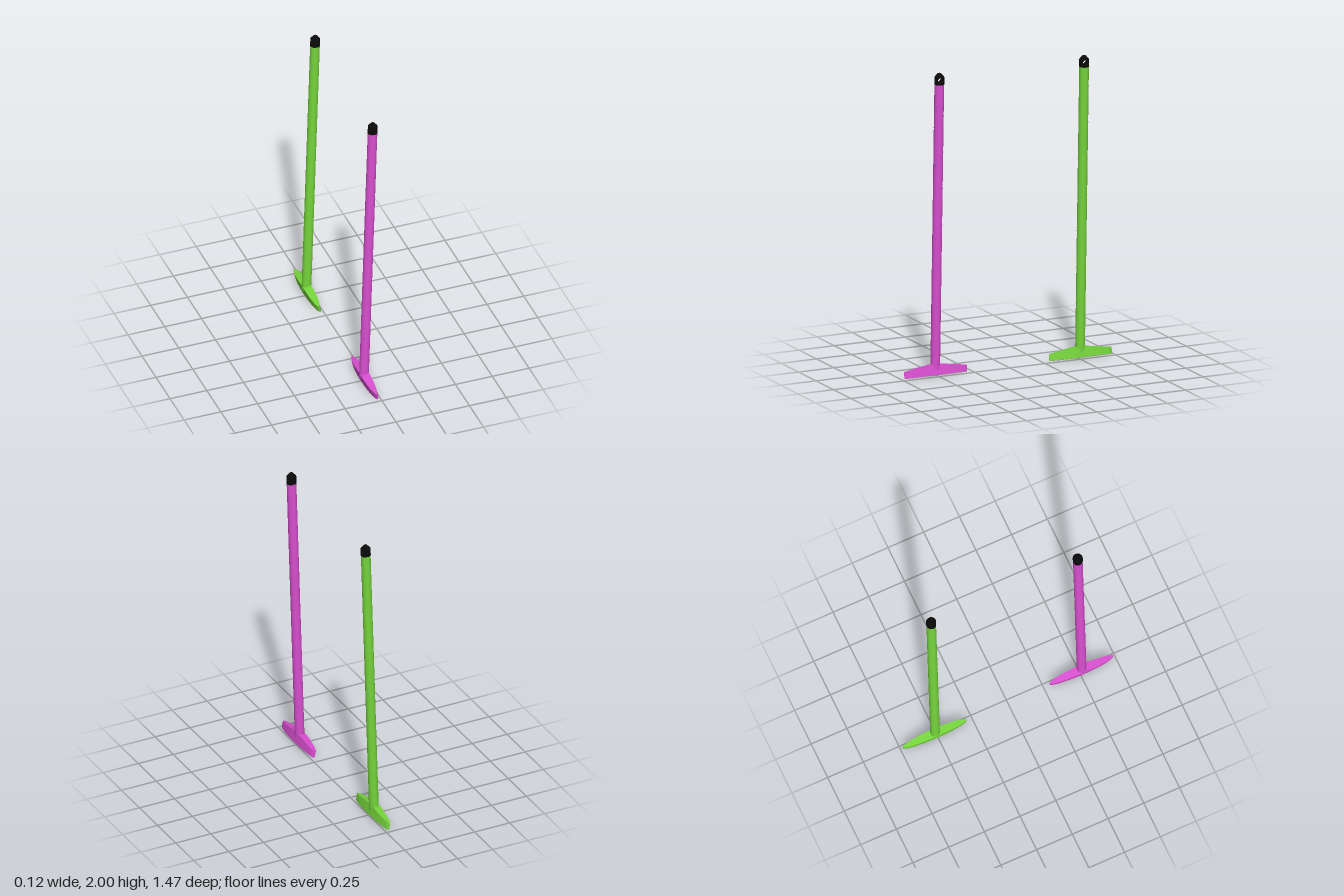
import * as THREE from 'three';
import { mergeGeometries, toCreasedNormals, mergeVertices } from 'three/addons/utils/BufferGeometryUtils.js';
import { ParametricGeometry } from 'three/addons/geometries/ParametricGeometry.js';

const R = 0.031;          // pole and cap radius
const LENGTH = 1.89;      // pole length
const Z = 0.513;          // distance of each pole from the centre

const paint = (color, side = THREE.FrontSide) => new THREE.MeshStandardMaterial({ color, side });

function mesh(name, geometry, material) {
  const m = new THREE.Mesh(geometry, material);
  m.name = name;
  return m;
}

// Foot: a box whose plan is narrowed to an ellipse and whose top slopes to the ends
function footGeometry() {
  const g = new THREE.BoxGeometry(0.055, 1, 2, 2, 1, 40);
  const p = g.attributes.position;
  for (let i = 0; i < p.count; i++) {
    const s = Math.sin(p.getZ(i) * Math.PI / 2);
    const z = s * 0.222;
    const top = THREE.MathUtils.mapLinear(Math.max(Math.abs(z), 0.035), 0.035, 0.222, 0.069, 0.042);
    p.setXYZ(i, p.getX(i) * Math.sqrt(Math.max(0, 1 - s * s)), p.getY(i) > 0 ? top : 0, z);
  }
  g.deleteAttribute('normal');
  g.deleteAttribute('uv');
  return toCreasedNormals(mergeVertices(g), 0.6);
}

// Sole: a thin ellipse under the foot
function soleGeometry() {
  const g = new THREE.CylinderGeometry(1, 1, 0.003, 48);
  g.scale(0.0265, 1, 0.22);
  return g;
}

// Small flush studs in staggered rows along both sides of the pole
function studsGeometry() {
  const studs = [];
  for (const side of [0, Math.PI]) {
    for (let row = 0; row < 42; row++) {
      for (const a of row % 2 ? [-0.6, 0.6] : [0]) {
        const g = new THREE.CylinderGeometry(0.003, 0.005, 0.0016, 6);
        g.rotateX(Math.PI / 2);
        g.translate(0, 0.12 + row * 0.04, R);
        g.rotateY(side + a);
        studs.push(g);
      }
    }
  }
  return mergeGeometries(studs);
}

// Cap: a round peg with a blunt cone on top, drilled through along x.
// u goes round the hole, v goes round the wall section.
function capGeometry() {
  const holeY = 0.03, holeR = 0.021, shoulder = 0.048, top = 0.073;
  const radiusAt = y => y < shoulder ? R + 0.001
    : THREE.MathUtils.mapLinear(y, shoulder, top, R + 0.001, 0.011);
  const outline = [[R + 0.001, 0], [R + 0.001, shoulder], [0.011, top], [-0.011, top],
    [-R - 0.001, shoulder], [-R - 0.001, 0]];
  // Where a ray from the hole centre meets the outline
  function reach(dz, dy) {
    let best = Infinity;
    outline.forEach(([z0, y0], i) => {
      const [z1, y1] = outline[(i + 1) % outline.length];
      const ez = z1 - z0, ey = y1 - y0, det = dz * ey - dy * ez;
      if (Math.abs(det) < 1e-9) return;
      const t = (z0 * ey - (y0 - holeY) * ez) / det;
      const k = (z0 * dy - (y0 - holeY) * dz) / det;
      if (t > 0 && k >= -1e-6 && k <= 1 + 1e-6) best = Math.min(best, t);
    });
    return best;
  }
  const g = new ParametricGeometry((u, v, out) => {
    const a = u * Math.PI * 2, dz = Math.cos(a), dy = Math.sin(a);
    const far = reach(dz, dy);
    // v 0-0.4 outward on the +x face, 0.4-0.6 rim, 0.6-1 back inward on the -x face
    const t = v <= 0.4 ? v / 0.4 : v >= 0.6 ? (1 - v) / 0.4 : 1;
    const r = holeR + (far - holeR) * t;
    const y = holeY + r * dy, z = r * dz, rad = radiusAt(y);
    const x = Math.sqrt(Math.max(0, rad * rad - z * z)) * (v < 0.5 ? 1 : -1);
    out.set(x, y, z);
  }, 64, 20);
  // Hole wall
  const wall = new ParametricGeometry((u, v, out) => {
    const a = u * Math.PI * 2, z = holeR * Math.cos(a), y = holeY + holeR * Math.sin(a);
    const rad = radiusAt(y);
    out.set((2 * v - 1) * Math.sqrt(Math.max(0, rad * rad - z * z)), y, z);
  }, 64, 2);
  return toCreasedNormals(mergeGeometries([g, wall]), 0.6);
}

function createStick(name, color) {
  const stick = new THREE.Group();
  stick.name = name;
  const body = paint(color);

  // Leaning pole with its studs and cap
  const upper = new THREE.Group();
  upper.name = 'poleAssembly';
  upper.position.set(-0.032, 0.04, 0);
  upper.rotation.z = -0.031;
  const pole = new THREE.CylinderGeometry(R, R, LENGTH, 24);
  pole.translate(0, LENGTH / 2, 0);
  const cap = mesh('cap', capGeometry(), paint(0x0a0a0a, THREE.DoubleSide));
  cap.position.y = LENGTH - 0.003;
  upper.add(mesh('pole', pole, body), mesh('studs', studsGeometry(), body), cap);

  // Foot tipped the other way, with the sole beneath
  const base = new THREE.Group();
  base.name = 'footAssembly';
  base.position.set(-0.022, 0.008, 0);
  base.rotation.z = 0.2;
  const sole = mesh('sole', soleGeometry(), paint(0x888888));
  sole.position.y = -0.001;
  base.add(mesh('foot', footGeometry(), body), sole);

  stick.add(upper, base);
  return stick;
}

export function createModel() {
  const model = new THREE.Group();
  model.name = 'polePair';
  const front = createStick('frontStick', 0xd94fd0);
  front.position.z = Z;
  const back = createStick('backStick', 0x76d53c);
  back.position.z = -Z;
  model.add(front, back);
  return model;
}
